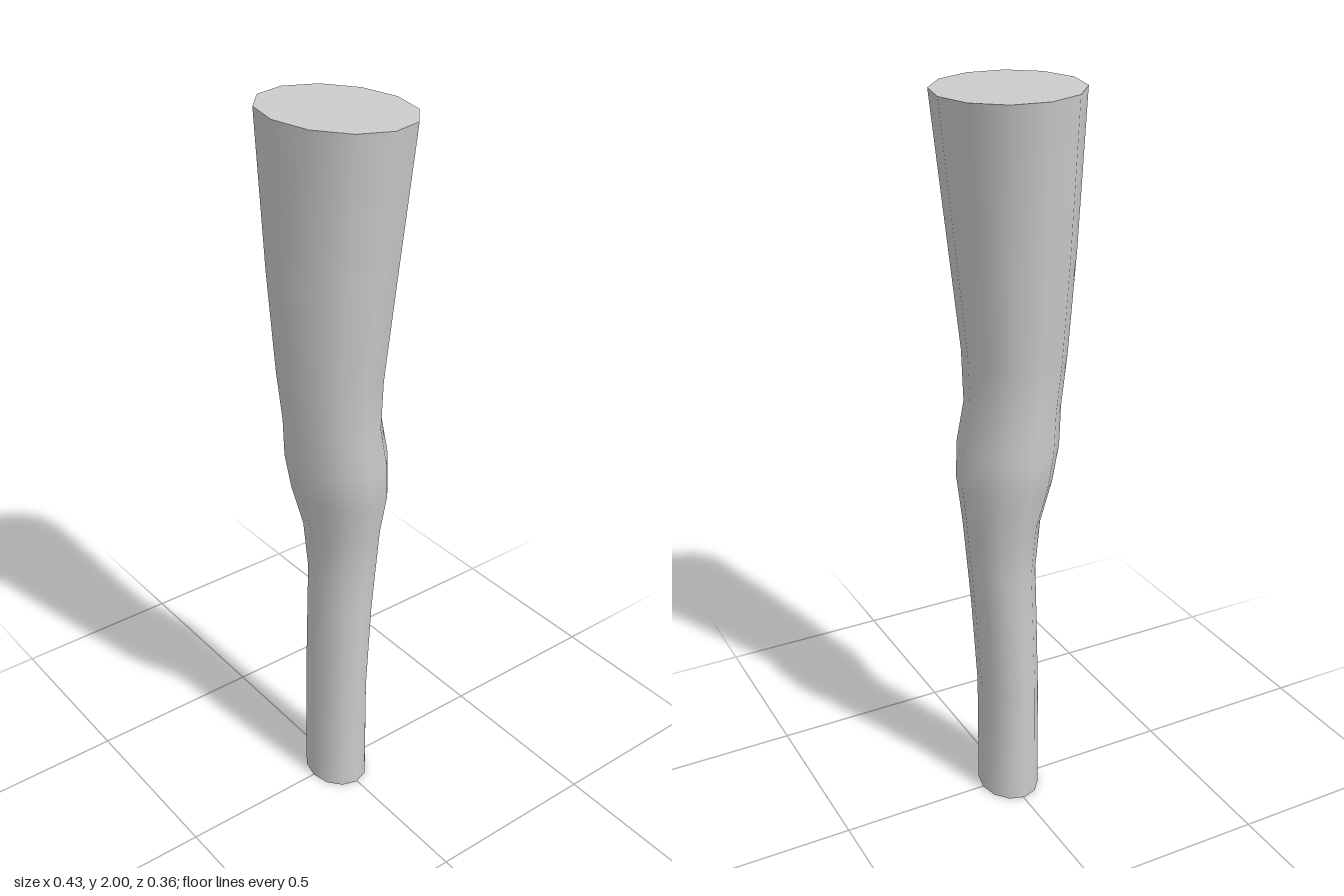
import * as THREE from 'three';

const SIDES = 12;

// Cross-sections from ankle to thigh: [height, half width, front z, back z]
const RINGS = [
  [0, 0.1, 0.085, -0.08],
  [0.34, 0.1, 0.082, -0.08],
  [0.6, 0.1, 0.075, -0.098],
  [0.72, 0.104, 0.07, -0.108],
  [0.86, 0.115, 0.082, -0.12],
  [0.98, 0.144, 0.112, -0.132],
  [1.08, 0.15, 0.13, -0.128],
  [1.19, 0.143, 0.135, -0.107],
  [1.33, 0.153, 0.15, -0.111],
  [1.6, 0.178, 0.167, -0.14],
  [1.9925, 0.214, 0.182, -0.181],
];

export function createModel() {
  const group = new THREE.Group();
  const grey = new THREE.MeshStandardMaterial({ color: 0xcccccc });
  grey.name = 'light grey';

  // Closed tube whose rings are moved onto the cross-sections
  const last = RINGS.length - 1;
  const geometry = new THREE.CylinderGeometry(1, 1, last, SIDES, last);
  const position = geometry.attributes.position;
  for (let i = 0; i < position.count; i++) {
    const ring = Math.round(position.getY(i) + last / 2);
    const [y, halfWidth, front, back] = RINGS[ring];
    const x = position.getX(i), z = position.getZ(i);
    const tilt = ring === last ? 0.0075 * z : 0; // top cut rises to the front
    position.setXYZ(i, x * halfWidth, y + tilt, (front + back) / 2 + z * (front - back) / 2);
  }
  geometry.computeVertexNormals();

  // Smooth the seam where the first and last columns meet
  const normal = geometry.attributes.normal;
  const a = new THREE.Vector3(), b = new THREE.Vector3();
  for (let r = 0; r <= last; r++) {
    const first = r * (SIDES + 1), end = first + SIDES;
    a.fromBufferAttribute(normal, first).add(b.fromBufferAttribute(normal, end)).normalize();
    normal.setXYZ(first, a.x, a.y, a.z);
    normal.setXYZ(end, a.x, a.y, a.z);
  }

  const leg = new THREE.Mesh(geometry, grey);
  leg.name = 'leg';
  group.add(leg);
  return group;
}
